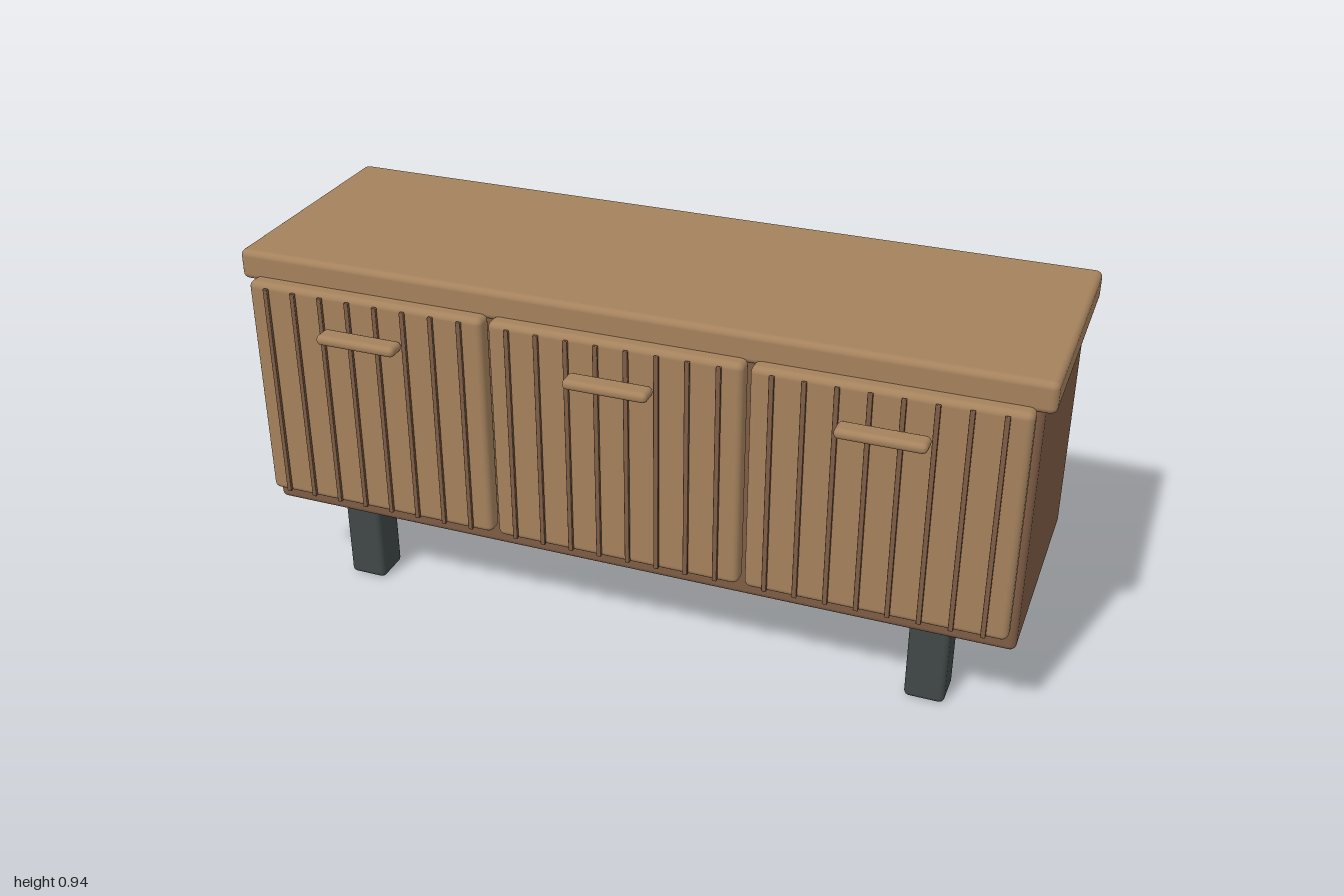
import * as THREE from 'three';
import { RoundedBoxGeometry } from 'three/addons/geometries/RoundedBoxGeometry.js';

const material = (name, color) => {
  const m = new THREE.MeshStandardMaterial({ color });
  m.name = name;
  return m;
};

export function createModel() {
  const lightWood = material('lightWood', 0xa5825d);
  const darkWood = material('darkWood', 0x7f5d46);
  const darkMetal = material('darkMetal', 0x404847);

  const group = new THREE.Group();
  group.name = 'sideboard';

  // Rounded block given by its extents on each axis
  const block = (parent, name, mat, [x0, x1], [y0, y1], [z0, z1], radius) => {
    const geo = new RoundedBoxGeometry(x1 - x0, y1 - y0, z1 - z0, 3, radius);
    const mesh = new THREE.Mesh(geo, mat);
    mesh.name = name;
    mesh.position.set((x0 + x1) / 2, (y0 + y1) / 2, (z0 + z1) / 2);
    parent.add(mesh);
    return mesh;
  };

  // Cabinet body and overhanging top
  block(group, 'body', darkWood, [-0.975, 0.975], [0.235, 0.88], [-0.347, 0.26], 0.016);
  block(group, 'top', lightWood, [-1, 1], [0.868, 0.945], [-0.362, 0.272], 0.016);

  // Four square legs
  for (const x of [-0.765, 0.765]) {
    for (const z of [-0.248, 0.158]) {
      block(group, 'leg', darkMetal, [x - 0.05, x + 0.05], [0, 0.245], [z - 0.05, z + 0.05], 0.014);
    }
  }

  // Three fluted doors, each with eight thin slats and a bar handle
  for (const x of [-0.645, 0, 0.645]) {
    const door = new THREE.Group();
    door.name = 'door';
    door.position.x = x;
    group.add(door);

    block(door, 'doorPanel', lightWood, [-0.315, 0.315], [0.293, 0.883], [0.26, 0.309], 0.016);
    for (let i = 0; i < 8; i++) {
      const sx = (i - 3.5) * 0.0745;
      block(door, 'slat', darkWood, [sx - 0.006, sx + 0.006], [0.301, 0.874], [0.312, 0.321], 0.002);
    }
    block(door, 'handle', lightWood, [-0.105, 0.105], [0.77, 0.796], [0.312, 0.364], 0.012);
  }

  return group;
}
